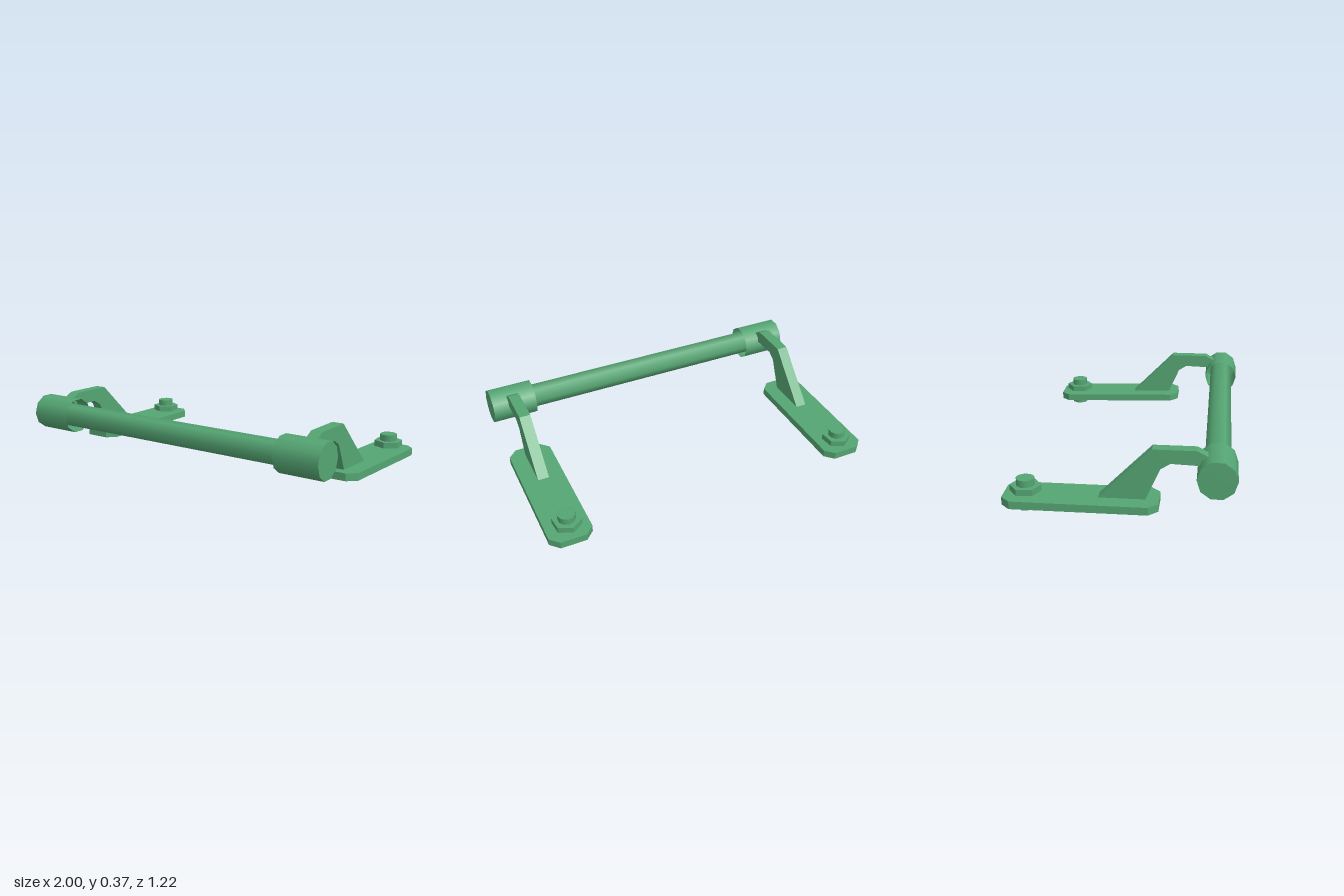
import * as THREE from 'three';

export function createModel() {
  const model = new THREE.Group();
  model.name = 'barWithBrackets';
  const smooth = new THREE.MeshStandardMaterial({ color: 0x55a573, side: THREE.DoubleSide });
  const flat = smooth.clone();
  flat.flatShading = true;

  const add = (name, geometry, material, x, y, z, parent = model) => {
    const mesh = new THREE.Mesh(geometry, material);
    mesh.name = name;
    mesh.position.set(x, y, z);
    parent.add(mesh);
    return mesh;
  };
  const polygon = (points) => new THREE.Shape(points.map(([x, y]) => new THREE.Vector2(x, y)));
  const extrude = (points, depth) =>
    new THREE.ExtrudeGeometry(polygon(points), { depth, bevelEnabled: false }).translate(0, 0, -depth / 2);

  const barY = 0.253, barZ = 0.506;

  // six-sided bar across the front
  add('bar', new THREE.CylinderGeometry(0.07, 0.07, 1.96, 6, 1, true).rotateZ(Math.PI / 2), smooth, 0, barY, barZ);

  // chamfered mounting plate, drawn in x and z
  const plateGeometry = extrude([
    [-0.075, -0.41], [0.075, -0.41], [0.125, -0.36], [0.125, 0.36],
    [0.075, 0.41], [-0.075, 0.41], [-0.125, 0.36], [-0.125, -0.36],
  ], 0.043).rotateX(Math.PI / 2);

  // bent arm, drawn in z and y
  const armGeometry = extrude([
    [0.46, 0.335], [0.4, 0.367], [0.17, 0.367], [-0.12, 0.075],
    [0.135, 0.08], [0.215, 0.26], [0.265, 0.292], [0.43, 0.286],
  ], 0.066).rotateY(-Math.PI / 2);

  for (const side of [-1, 1]) {
    const label = side > 0 ? 'left' : 'right';
    const bracket = new THREE.Group();
    bracket.name = label + 'Bracket';
    model.add(bracket);

    // ten-sided sleeve, closed on the outer end only
    add(label + 'Sleeve', new THREE.CylinderGeometry(0.104, 0.104, 0.265, 10, 1, true).rotateZ(Math.PI / 2),
      smooth, side * 0.8675, barY, barZ);
    add(label + 'SleeveEnd', new THREE.CircleGeometry(0.104, 10).rotateY(side * Math.PI / 2),
      smooth, side, barY, barZ);

    // the left plate is slightly tilted, front end up
    const plate = add('plate', plateGeometry, flat, side * 0.87 + 0.003, side > 0 ? 0.073 : 0.065, -0.2, bracket);
    if (side > 0) plate.rotation.x = -0.03;
    add('arm', armGeometry, flat, side * 0.8675 + 0.005, 0, 0, bracket);

    // bolt with an open lower end, and its nut
    const boltX = side * 0.8675 + 0.002, boltZ = -0.497;
    add('boltShank', new THREE.CylinderGeometry(0.05, 0.05, 0.168, 10, 1, true), smooth, boltX, 0.084, boltZ, bracket);
    add('boltTop', new THREE.CircleGeometry(0.05, 10).rotateX(-Math.PI / 2), smooth, boltX, 0.168, boltZ, bracket);
    add('nut', new THREE.CylinderGeometry(0.084, 0.084, 0.035, 6), flat, boltX, 0.112, boltZ, bracket).rotation.y = 0.1;
  }
  return model;
}
